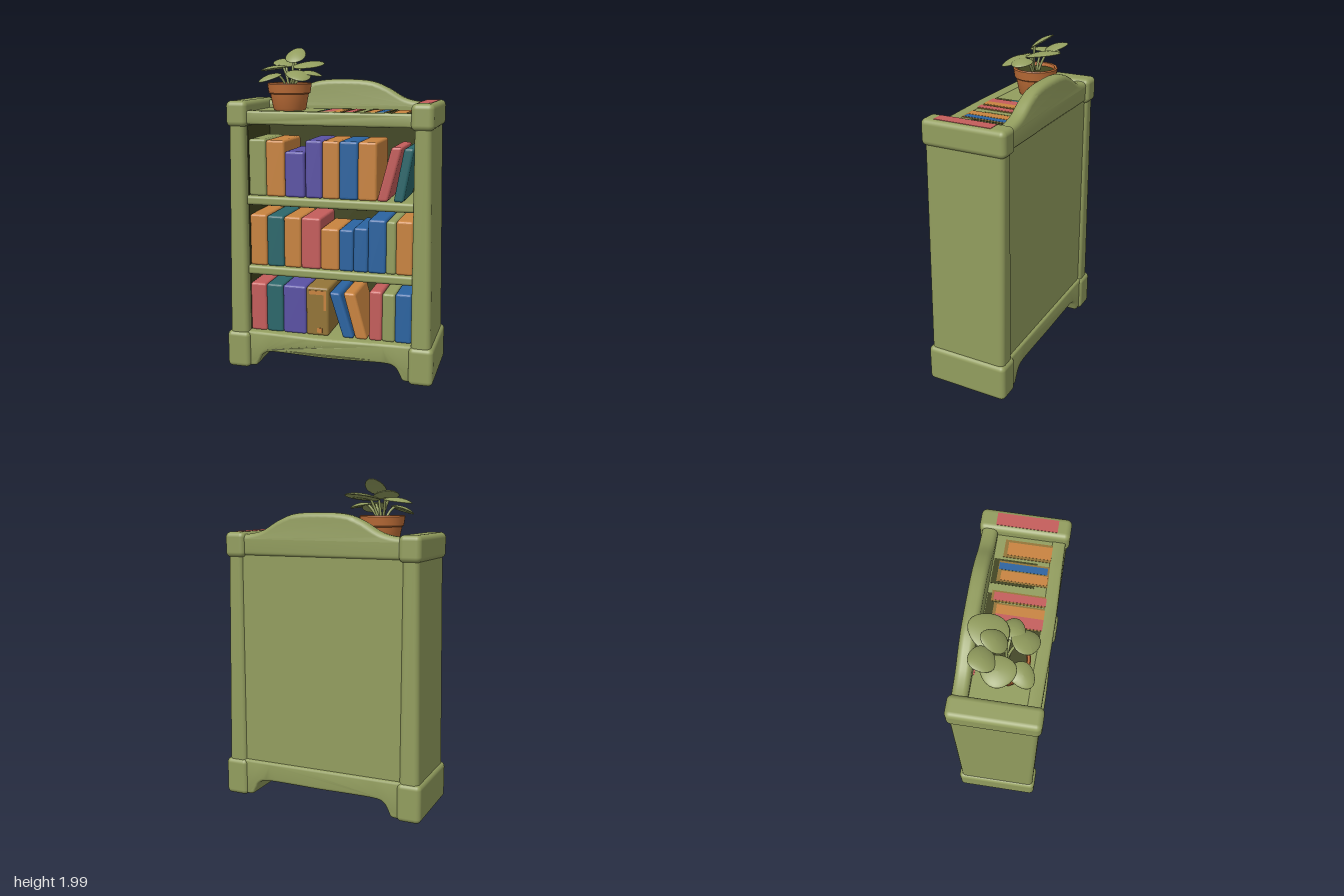
import * as THREE from 'three';
import { toCreasedNormals } from 'three/addons/utils/BufferGeometryUtils.js';
import { RoundedBoxGeometry } from 'three/addons/geometries/RoundedBoxGeometry.js';

const COLORS = {
  green: 0x929d5e, darkGreen: 0x40441f, orange: 0xc8833f, red: 0xc45d5b, blue: 0x2b63a0,
  purple: 0x5a51a4, teal: 0x2b676b, terracotta: 0xbd6d37, brown: 0x937437,
};

export function createModel() {
  const root = new THREE.Group();
  root.name = 'bookcase';
  const mats = {};
  for (const [name, hex] of Object.entries(COLORS)) {
    mats[name] = new THREE.MeshStandardMaterial({ color: hex });
    mats[name].name = name;
  }
  const V = (x, y, z) => new THREE.Vector3(x, y, z);

  function add(name, geo, color, parent = root) {
    const mesh = new THREE.Mesh(geo, mats[color]);
    mesh.name = name;
    parent.add(mesh);
    return mesh;
  }
  // box given by its limits; r rounds the edges
  function box(name, x0, x1, y0, y1, z0, z1, color, r = 0, parent = root) {
    const size = [x1 - x0, y1 - y0, z1 - z0];
    const geo = r ? new RoundedBoxGeometry(...size, 4, r) : new THREE.BoxGeometry(...size);
    geo.translate((x0 + x1) / 2, (y0 + y1) / 2, (z0 + z1) / 2);
    return add(name, geo, color, parent);
  }
  // profile extruded in z with rounded front and back edges
  function slab(points, z0, z1, r) {
    const shape = new THREE.Shape(points.map(([x, y]) => new THREE.Vector2(x, y)));
    const geo = new THREE.ExtrudeGeometry(shape, {
      depth: z1 - z0 - 2 * r, bevelThickness: r, bevelSize: r, bevelOffset: -r, bevelSegments: 4,
    });
    return geo.translate(0, 0, z0 + r);
  }
  const smoothLine = (points, n) =>
    new THREE.SplineCurve(points.map(([x, y]) => new THREE.Vector2(x, y)))
      .getPoints(n).map((p) => [p.x, p.y]);
  // bow the front outwards at the middle
  function bow(geo, amount) {
    const p = geo.attributes.position;
    for (let i = 0; i < p.count; i++) {
      if (p.getZ(i) > 0) {
        const c = Math.max(0, Math.cos(p.getX(i) * Math.PI / 1.04));
        p.setZ(i, p.getZ(i) + amount * c * c);
      }
    }
    return toCreasedNormals(geo, 0.7);
  }

  // sides, feet and corner caps, mirrored
  for (const s of [1, -1]) {
    const label = s > 0 ? 'left' : 'right';
    const span = (a, b) => (s > 0 ? [a, b] : [-b, -a]);
    const side = box(label + 'Side', ...span(0.515, 0.625), 0.18, 1.58, -0.245, 0.245, 'green', 0.03);
    const p = side.geometry.attributes.position;
    for (let i = 0; i < p.count; i++) {
      const lean = (0.88 - p.getY(i)) * 0.018;
      if (Math.abs(p.getX(i)) > 0.57) p.setX(i, p.getX(i) + s * lean);
    }
    box(label + 'Foot', ...span(0.505, 0.655), 0, 0.235, -0.26, 0.26, 'green', 0.03);
    box(label + 'Cap', ...span(0.495, 0.628), 1.525, 1.68, -0.26, 0.26, 'green', 0.032);
    box(label + 'Lining', ...span(0.511, 0.518), 0.24, 1.54, -0.2, 0.19, 'darkGreen');
  }

  // arched base that runs through the whole depth
  const halfArch = [[0.55, 0.01], [0.475, 0.012], [0.452, 0.045], [0.425, 0.09], [0.37, 0.112]];
  const arch = smoothLine([
    ...halfArch, [0.2, 0.114], [0, 0.112], [-0.2, 0.114],
    ...halfArch.map(([x, y]) => [-x, y]).reverse(),
  ], 48);
  const baseTop = Array.from({ length: 17 }, (_, i) => [-0.55 + i * 0.06875, 0.238]);
  add('base', bow(slab([...arch, ...baseTop], -0.245, 0.235, 0.018), 0.018), 'green');

  // back panel with dark inner face
  box('backPanel', -0.53, 0.53, 0.2, 1.58, -0.228, -0.2, 'green');
  box('backLining', -0.515, 0.515, 0.24, 1.54, -0.2, -0.194, 'darkGreen');

  // shelves and top board
  for (const y of [0.605, 1.045]) {
    box('shelf', -0.525, 0.525, y, y + 0.058, -0.2, 0.215, 'green', 0.018);
    box('shelfUnderside', -0.51, 0.51, y - 0.003, y + 0.003, -0.19, 0.185, 'darkGreen');
  }
  box('topBoard', -0.52, 0.52, 1.545, 1.617, -0.22, 0.215, 'green');
  box('topUnderside', -0.51, 0.51, 1.541, 1.546, -0.19, 0.19, 'darkGreen');
  const rail = Array.from({ length: 17 }, (_, i) => -0.52 + i * 0.065);
  add('topRail', bow(slab([
    ...rail.map((x) => [x, 1.54]), ...[...rail].reverse().map((x) => [x, 1.622]),
  ], 0.16, 0.238, 0.015), 0.008), 'green');

  // curved crest along the back
  const halfCrest = [[0.52, 1.665], [0.45, 1.672], [0.37, 1.695], [0.28, 1.748], [0.19, 1.785], [0.1, 1.798]];
  const crest = smoothLine([
    ...halfCrest, [0, 1.8], ...halfCrest.map(([x, y]) => [-x, y]).reverse(),
  ], 48);
  add('crest', toCreasedNormals(
    slab([[-0.52, 1.535], [0.52, 1.535], ...crest], -0.242, -0.152, 0.03), 0.7), 'green');

  // books: [colour, left, right, top, shift of the top for leaning ones]
  const rows = [
    [1.1, [
      ['green', -0.51, -0.4, 1.45], ['orange', -0.4, -0.28, 1.445], ['purple', -0.28, -0.155, 1.38],
      ['purple', -0.15, -0.045, 1.45], ['orange', -0.045, 0.06, 1.45], ['blue', 0.06, 0.175, 1.45],
      ['orange', 0.175, 0.29, 1.45], ['red', 0.29, 0.355, 1.425, 0.085], ['teal', 0.39, 0.45, 1.42, 0.06],
    ]],
    [0.66, [
      ['orange', -0.51, -0.4, 0.985], ['teal', -0.4, -0.29, 0.98], ['orange', -0.29, -0.18, 0.98],
      ['red', -0.18, -0.055, 0.98], ['orange', -0.055, 0.06, 0.92], ['blue', 0.06, 0.15, 0.92],
      ['blue', 0.15, 0.24, 0.935], ['blue', 0.24, 0.35, 0.99], ['green', 0.35, 0.41, 0.985],
      ['orange', 0.41, 0.512, 0.99],
    ]],
    [0.235, [
      ['red', -0.515, -0.41, 0.545], ['teal', -0.41, -0.3, 0.545], ['purple', -0.3, -0.15, 0.545],
      ['brown', -0.15, -0.005, 0.545], ['blue', 0.085, 0.155, 0.52, -0.09], ['orange', 0.165, 0.24, 0.525, -0.08],
      ['red', 0.25, 0.33, 0.55], ['green', 0.33, 0.41, 0.54], ['blue', 0.41, 0.512, 0.545],
    ]],
  ];
  const books = new THREE.Group();
  books.name = 'books';
  root.add(books);
  for (const [y0, row] of rows) {
    for (const [color, x0, x1, y1, lean = 0] of row) {
      const book = box('book', x0, x1, y0, y1, -0.14, 0.19, color, 0.016, books);
      book.geometry.applyMatrix4(new THREE.Matrix4().makeTranslation(0, -y0, 0));
      book.geometry.applyMatrix4(new THREE.Matrix4().makeShear(0, 0, lean / (y1 - y0), 0, 0, 0));
      book.geometry.translate(0, y0, 0);
      book.geometry.computeVertexNormals();
    }
  }
  // worn patches on the brown book
  for (const [x0, x1, y0, y1] of [[-0.13, -0.02, 0.5, 0.525], [-0.035, -0.02, 0.4, 0.5], [-0.08, -0.045, 0.255, 0.285]]) {
    box('bookPatch', x0, x1, y0, y1, 0.187, 0.193, 'orange', 0, books);
  }

  // flat coloured patches on the top: [colour, x0, x1, z0, z1, layer]
  const patches = [
    ['darkGreen', -0.09, 0.13, -0.148, -0.08, 0], ['darkGreen', -0.09, -0.05, -0.08, 0.19, 0],
    ['teal', -0.08, -0.055, -0.08, 0.06, 1], ['brown', -0.06, 0.075, -0.105, 0.195, 1],
    ['red', -0.055, 0.01, -0.088, 0.18, 2], ['orange', 0.01, 0.065, -0.088, 0.18, 2],
    ['brown', 0.082, 0.148, -0.125, 0.19, 1], ['red', 0.09, 0.138, -0.112, 0.18, 2],
    ['darkGreen', 0.19, 0.345, -0.146, 0.1, 0], ['brown', 0.205, 0.333, -0.115, 0.182, 1],
    ['orange', 0.215, 0.272, -0.095, 0.168, 2], ['blue', 0.28, 0.322, -0.112, 0.162, 2],
    ['brown', 0.36, 0.47, -0.1, 0.205, 1], ['orange', 0.375, 0.455, -0.08, 0.17, 2],
    ['red', -0.36, -0.27, -0.15, -0.142, 1],
  ];
  for (const [color, x0, x1, z0, z1, layer] of patches) {
    box('topPatch', x0, x1, 1.614, 1.619 + layer * 0.0015, z0, z1, color);
  }
  box('capPatch', 0.523, 0.6, 1.676, 1.682, -0.165, 0.185, 'red');

  // potted plant
  const plant = new THREE.Group();
  plant.name = 'pottedPlant';
  root.add(plant);
  const potProfile = [
    [0, 1.617], [0.095, 1.617], [0.102, 1.63], [0.118, 1.715], [0.128, 1.722], [0.136, 1.775],
    [0.13, 1.782], [0.118, 1.78], [0.112, 1.75],
  ].map(([r, y]) => new THREE.Vector2(r, y));
  const pot = add('pot', toCreasedNormals(new THREE.LatheGeometry(potProfile, 32), 0.6), 'terracotta', plant);
  pot.position.set(-0.3, 0, 0.015);
  const soil = add('soil', new THREE.CylinderGeometry(0.115, 0.115, 0.01, 32), 'darkGreen', plant);
  soil.position.set(-0.3, 1.755, 0.015);

  // leaves: [base, tip, width]
  const leaves = [
    [V(-0.24, 1.87, 0.02), V(-0.17, 1.91, -0.19), 0.2],
    [V(-0.32, 1.88, 0), V(-0.49, 1.855, -0.01), 0.19],
    [V(-0.275, 1.905, 0.03), V(-0.275, 1.995, -0.11), 0.125],
    [V(-0.25, 1.86, 0.05), V(-0.165, 1.8, 0.18), 0.15],
    [V(-0.34, 1.84, 0.07), V(-0.44, 1.79, 0.175), 0.125],
    [V(-0.33, 1.88, -0.03), V(-0.4, 1.925, -0.155), 0.15],
    [V(-0.22, 1.85, 0.03), V(-0.085, 1.825, 0.045), 0.13],
  ];
  for (const [base, tip, width] of leaves) {
    const dir = tip.clone().sub(base);
    const len = dir.length();
    dir.normalize();
    const across = V(0, 1, 0).cross(dir).normalize();
    const up = dir.clone().cross(across);
    const geo = new THREE.SphereGeometry(1, 20, 14);
    const p = geo.attributes.position;
    for (let i = 0; i < p.count; i++) {
      const x = p.getX(i), y = p.getY(i), z = p.getZ(i);
      p.setXYZ(i, x * (1 - 0.18 * z) * width / 2, y * 0.009 - 0.012 * (x * x + z * z) + 0.008, z * len / 2);
    }
    geo.computeVertexNormals();
    geo.applyMatrix4(new THREE.Matrix4().makeBasis(across, up, dir)
      .setPosition(base.clone().add(tip).multiplyScalar(0.5)));
    add('leaf', geo, 'green', plant);
    const root0 = V(-0.3 + (base.x + 0.3) * 0.35, 1.755, 0.015 + (base.z - 0.015) * 0.35);
    const bend = V((root0.x + base.x * 2) / 3, 1.82, (root0.z + base.z) / 2);
    const end = base.clone().addScaledVector(dir, 0.025);
    add('stem', new THREE.TubeGeometry(
      new THREE.QuadraticBezierCurve3(root0, bend, end), 8, 0.008, 8), 'green', plant);
  }
  return root;
}
